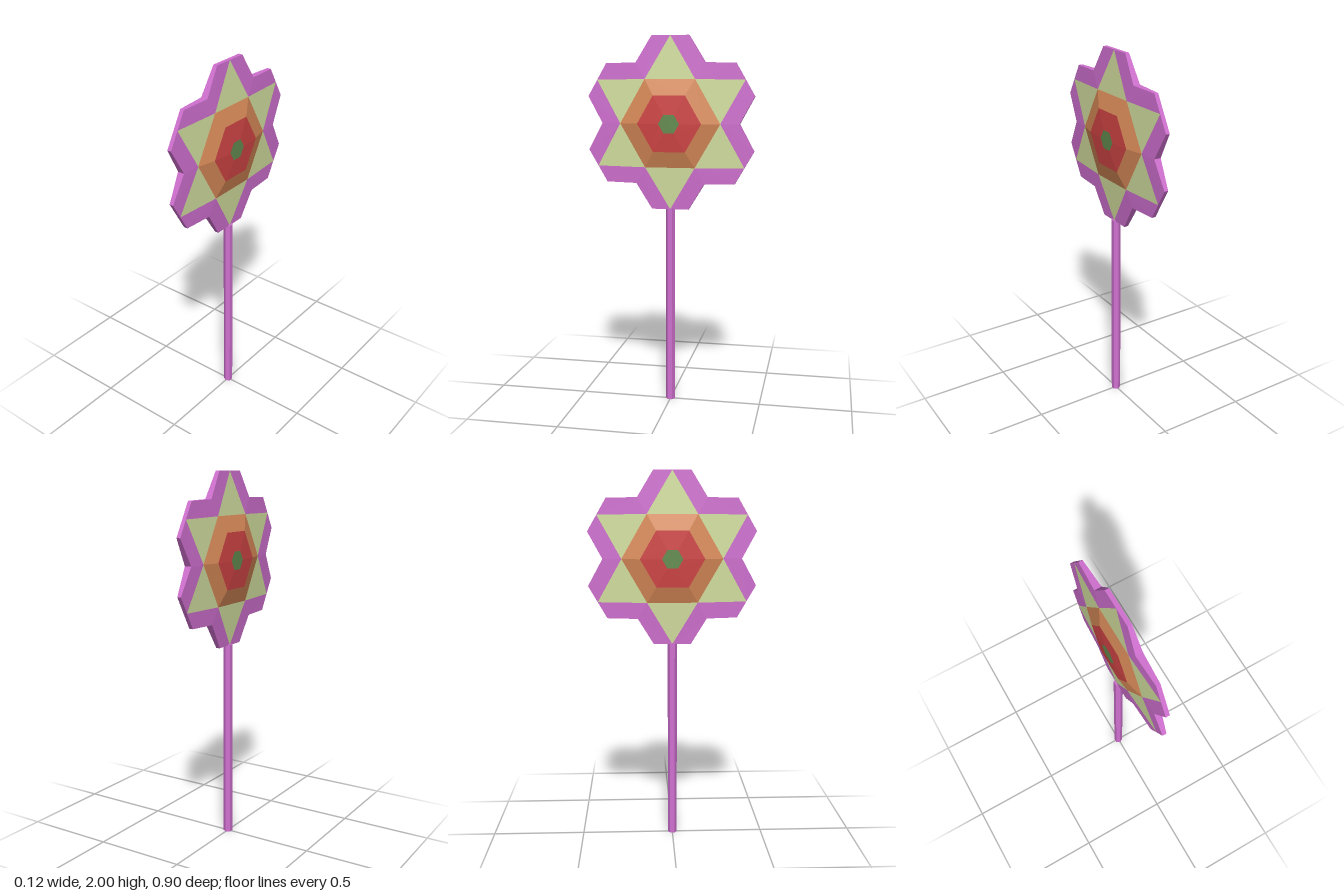
import * as THREE from 'three';

const CENTER_Y = 1.54;
const STEP = Math.PI / 3;

// Point on the +x face: radius and angle in the flower plane, x is half thickness
const polar = (r, a, x) => [x, CENTER_Y + r * Math.cos(a), r * Math.sin(a)];

// Point of petal k: outward distance u, sideways offset v
const onPetal = (k, u, v, x) => polar(Math.hypot(u, v), k * STEP + Math.atan2(v, u), x);

// Corner k of a hexagon ring, lying between petals k and k + 1
const corner = (k, r, x) => polar(r, (k + 0.5) * STEP, x);

const flip = ([x, y, z]) => [-x, y, z];

// Convex polygons on the +x side are fanned into triangles and mirrored to -x
function facets(name, color, polygons, rim = []) {
  const pos = [];
  const fan = (p) => {
    for (let i = 1; i < p.length - 1; i++) pos.push(...p[0], ...p[i], ...p[i + 1]);
  };
  for (const p of polygons) {
    fan(p);
    fan(p.map(flip).reverse());
  }
  rim.forEach((p, i) => {
    const q = rim[(i + 1) % rim.length];
    fan([p, flip(p), flip(q), q]);
  });
  const geometry = new THREE.BufferGeometry();
  geometry.setAttribute('position', new THREE.Float32BufferAttribute(pos, 3));
  geometry.computeVertexNormals();
  const mesh = new THREE.Mesh(geometry, new THREE.MeshStandardMaterial({ color, flatShading: true }));
  mesh.name = name;
  return mesh;
}

export function createModel() {
  const group = new THREE.Group();
  group.name = 'flower';
  const purple = 0xd070d0;

  // Hexagon rings of the domed centre: [radius, half thickness]
  const outer = [0.27, 0.025], middle = [0.172, 0.05], inner = [0.056, 0.058];
  const petals = [], star = [], orange = [], red = [], rim = [];

  for (let k = 0; k < 6; k++) {
    const tip = onPetal(k, 0.46, 0, 0.011);
    const left = onPetal(k, 0.46, -0.1, 0.011);
    const right = onPetal(k, 0.46, 0.1, 0.011);
    const notchA = corner(k - 1, 0.37, 0.019);
    const notchB = corner(k, 0.37, 0.019);
    const a = corner(k - 1, ...outer), b = corner(k, ...outer);

    star.push([a, tip, b]);
    petals.push([a, notchA, left, tip], [b, tip, right, notchB]);
    rim.push(notchA, left, tip, right);

    const ring = (o, i) => [corner(k - 1, ...i), corner(k - 1, ...o), corner(k, ...o), corner(k, ...i)];
    orange.push(ring(outer, middle));
    red.push(ring(middle, inner));
  }
  const eye = [0, 1, 2, 3, 4, 5].map((k) => corner(k, ...inner));

  group.add(
    facets('petalBorder', purple, petals, rim),
    facets('petalStar', 0xd4e0a0, star),
    facets('outerCentre', 0xd88a58, orange),
    facets('innerCentre', 0xd04444, red),
    facets('eye', 0x648c50, [eye])
  );

  // Hexagonal stem
  const stem = new THREE.Mesh(
    new THREE.CylinderGeometry(0.025, 0.025, 1.085, 6),
    new THREE.MeshStandardMaterial({ color: purple, flatShading: true })
  );
  stem.name = 'stem';
  stem.position.y = 1.085 / 2;
  group.add(stem);
  return group;
}
